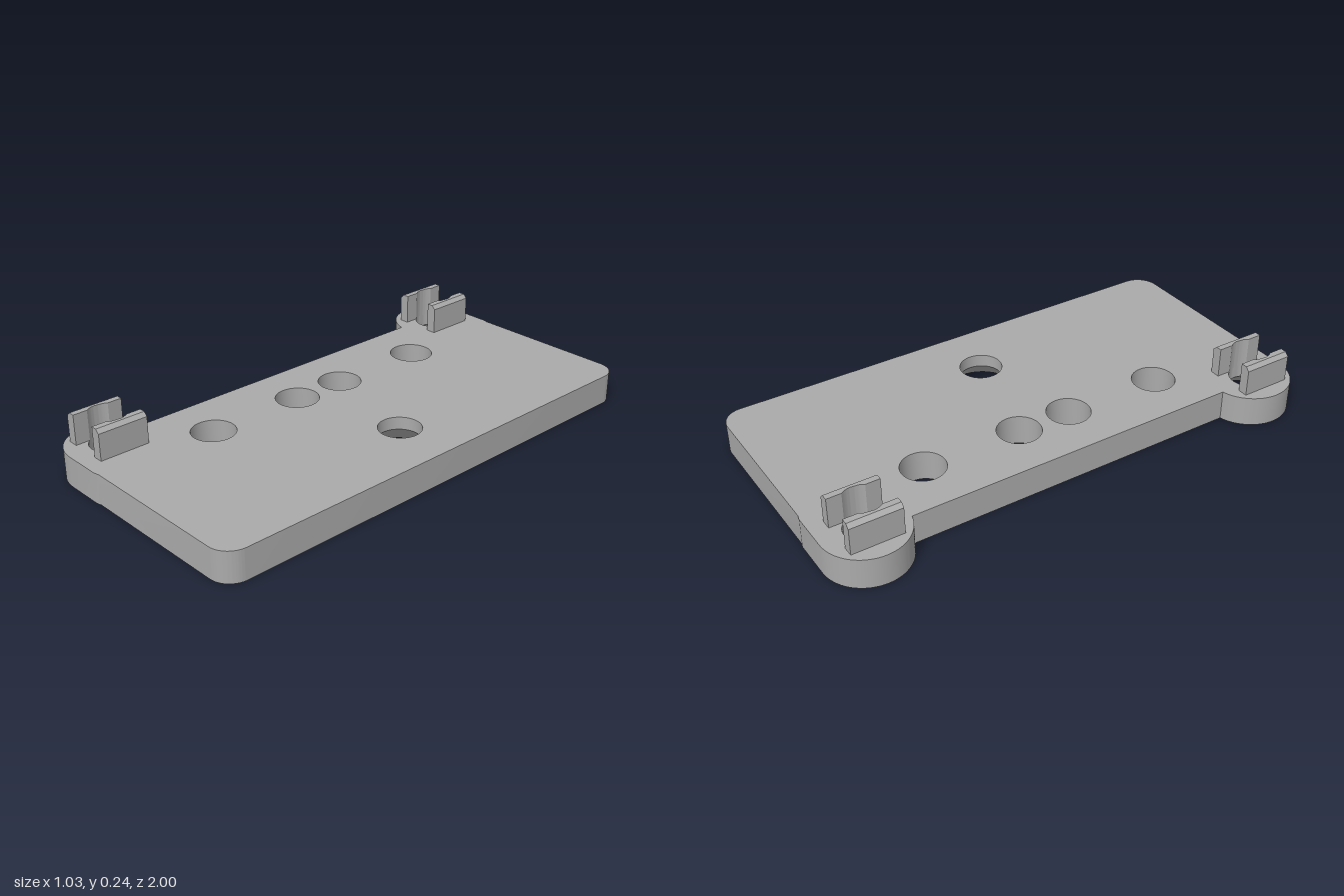
import * as THREE from 'three';
import { toCreasedNormals } from 'three/addons/utils/BufferGeometryUtils.js';

const H = 0.12;                                  // plate thickness
const SINK = 0.07;                               // countersink depth
const TAB = { x: -0.354, z: 0.837, r: 0.163 };   // rounded corner tabs
const SEG = 24;

// x, z, radius at top, radius at bottom
const HOLES = [
  ...[-0.512, -0.11, 0.11, 0.512].map((z) => [-0.172, z, 0.085, 0.085]),
  [0.272, 0, 0.083, 0.148],
  [TAB.x, TAB.z, 0.074, 0.148],
  [TAB.x, -TAB.z, 0.074, 0.148],
];

// Plan outline, symmetric front to back
function outline() {
  const a = Math.acos((-0.39 - TAB.x) / TAB.r), edge = 0.995, right = 0.515, c = 0.085;
  const s = new THREE.Shape();
  s.absarc(TAB.x, -TAB.z, TAB.r, a, Math.PI * 1.5, false);
  s.lineTo(-0.2, -TAB.z - TAB.r);
  s.lineTo(-0.18, -edge);
  s.absarc(right - c, -edge + c, c, -Math.PI / 2, 0, false);
  s.absarc(right - c, edge - c, c, 0, Math.PI / 2, false);
  s.lineTo(-0.18, edge);
  s.lineTo(-0.2, TAB.z + TAB.r);
  s.absarc(TAB.x, TAB.z, TAB.r, Math.PI / 2, Math.PI * 2 - a, false);
  s.closePath();
  return s;
}

// Flat face of the plate, with holes of the top (2) or bottom (3) radius
function face(radiusIndex) {
  const s = outline();
  for (const h of HOLES) {
    const p = new THREE.Path();
    p.absarc(h[0], -h[1], h[radiusIndex], 0, Math.PI * 2, true);
    s.holes.push(p);
  }
  return new THREE.ShapeGeometry(s, SEG);
}

// Outer wall following the outline
function wall() {
  const pts = outline().extractPoints(SEG).shape;
  const pos = [];
  pts.forEach((p, i) => {
    const q = pts[(i + 1) % pts.length];
    if (p.distanceTo(q) < 1e-6) return;
    pos.push(p.x, 0, -p.y, q.x, 0, -q.y, q.x, H, -q.y);
    pos.push(p.x, 0, -p.y, q.x, H, -q.y, p.x, H, -p.y);
  });
  const g = new THREE.BufferGeometry();
  g.setAttribute('position', new THREE.Float32BufferAttribute(pos, 3));
  return toCreasedNormals(g, 0.5);
}

// Hole lining, facing inwards, flared below when countersunk
function bore(top, bottom) {
  const profile = [[top, H], [top, SINK], [bottom, 0]].map((p) => new THREE.Vector2(...p));
  return toCreasedNormals(new THREE.LatheGeometry(profile, SEG * 2), 0.5);
}

// Upright clip jaw: scooped inner side, chamfered outer top edge
function jaw(side) {
  const inner = 0.06, outer = 0.1, half = 0.1, r = 0.074, height = 0.12, chamfer = 0.015;
  const a = Math.acos(inner / r);
  const s = new THREE.Shape();
  s.moveTo(inner, -half);
  s.lineTo(outer, -half);
  s.lineTo(outer, half);
  s.lineTo(inner, half);
  s.absarc(0, 0, r, a, -a, true);
  s.closePath();
  const g = new THREE.ExtrudeGeometry(s, { depth: height, steps: 8, bevelEnabled: false, curveSegments: 12 });
  const p = g.attributes.position;
  for (let i = 0; i < p.count; i++) {
    if (p.getZ(i) > height - 0.001 && p.getX(i) > outer - 0.001) p.setX(i, outer - chamfer);
  }
  g.rotateX(-Math.PI / 2);
  if (side < 0) g.rotateY(Math.PI);
  return toCreasedNormals(g, 0.5);
}

export function createModel() {
  const model = new THREE.Group();
  model.name = 'mountingPlate';
  const grey = new THREE.MeshStandardMaterial({ color: 0xaaaaaa });
  grey.name = 'grey';
  const add = (parent, geometry, name) => {
    const mesh = new THREE.Mesh(geometry, grey);
    mesh.name = name;
    parent.add(mesh);
    return mesh;
  };

  // Plate
  const plate = new THREE.Group();
  plate.name = 'plate';
  model.add(plate);
  add(plate, face(2).rotateX(-Math.PI / 2).translate(0, H, 0), 'plateTop');
  add(plate, face(3).rotateX(Math.PI / 2), 'plateBottom');
  add(plate, wall(), 'plateEdge');
  for (const [x, z, top, bottom] of HOLES) {
    add(plate, bore(top, bottom), top === bottom ? 'hole' : 'countersunkHole').position.set(x, 0, z);
  }

  // Pair of clip jaws on each tab
  for (const end of [1, -1]) {
    const clip = new THREE.Group();
    clip.name = end > 0 ? 'frontClip' : 'backClip';
    clip.position.set(TAB.x, H, end * TAB.z);
    for (const side of [1, -1]) add(clip, jaw(side), side > 0 ? 'leftJaw' : 'rightJaw');
    model.add(clip);
  }
  return model;
}
